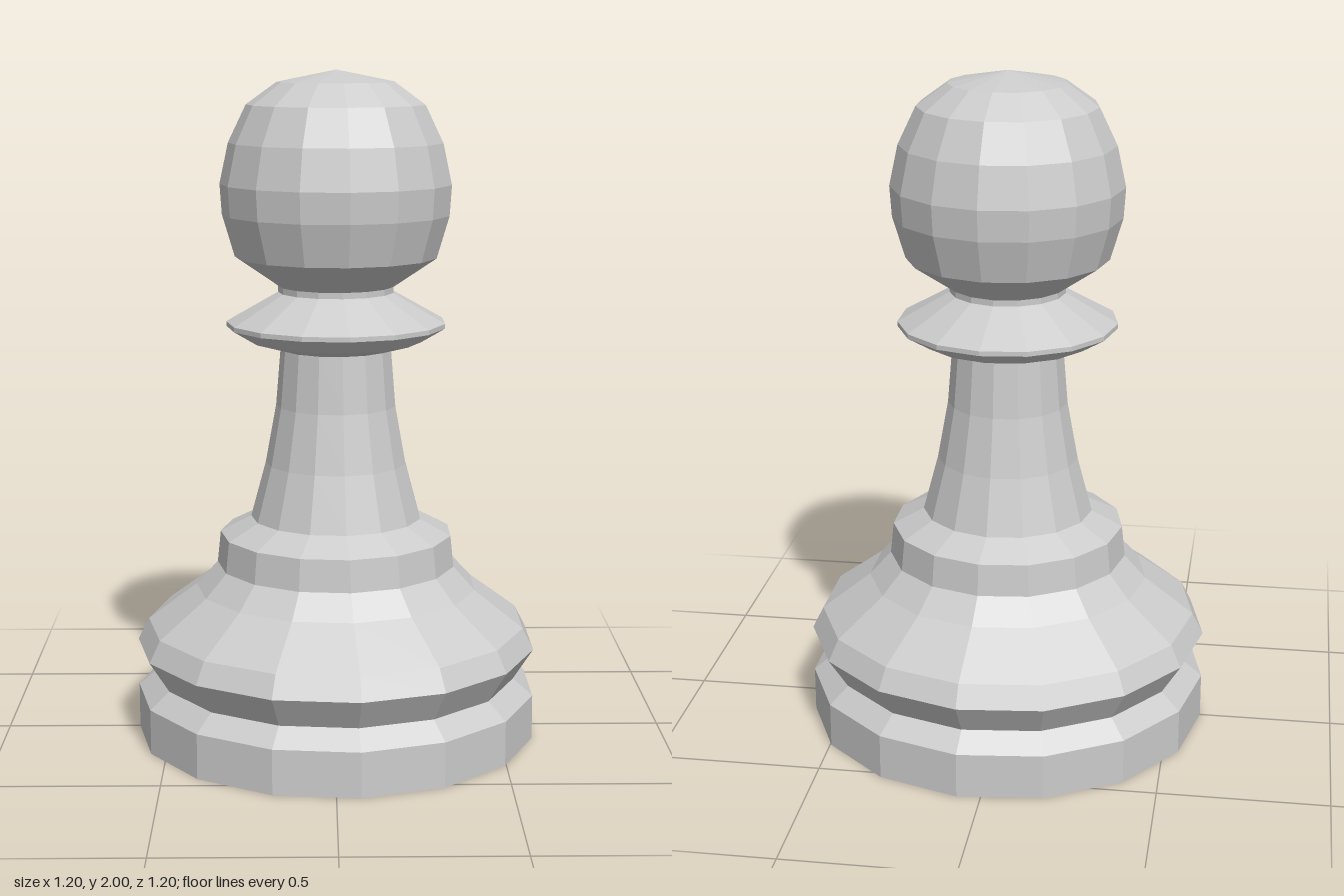
import * as THREE from 'three';

const SIDES = 15;

// Turned profiles as [radius, height], each starting where the previous one ends
const PROFILES = {
  foot: [[0, 0], [0.605, 0], [0.605, 0.135], [0.545, 0.185]],
  base: [[0.545, 0.185], [0.605, 0.28], [0.572, 0.345], [0.425, 0.455], [0.36, 0.525], [0.35, 0.62], [0.257, 0.668]],
  stem: [[0.257, 0.668], [0.212, 0.835], [0.18, 1.01], [0.166, 1.18]],
  collar: [[0.166, 1.18], [0.255, 1.205], [0.327, 1.248], [0.327, 1.262], [0.172, 1.35]],
  head: [[0.172, 1.35], [0.172, 1.368], [0.3, 1.455], [0.337, 1.58], [0.343, 1.67], [0.317, 1.79], [0.264, 1.9], [0.174, 1.965], [0, 2]],
};

export function createModel() {
  const pawn = new THREE.Group();
  pawn.name = 'pawn';
  const material = new THREE.MeshStandardMaterial({ color: 0xcccccc, flatShading: true });

  for (const [name, profile] of Object.entries(PROFILES)) {
    const points = profile.map(([r, y]) => new THREE.Vector2(r, y));
    // One corner points to -x, a flat side to +x
    const mesh = new THREE.Mesh(new THREE.LatheGeometry(points, SIDES, -Math.PI / 2), material);
    mesh.name = name;
    pawn.add(mesh);
  }

  // Odd number of sides: shift so the width is centred
  for (const part of pawn.children) part.position.x = 0.0066;
  return pawn;
}
